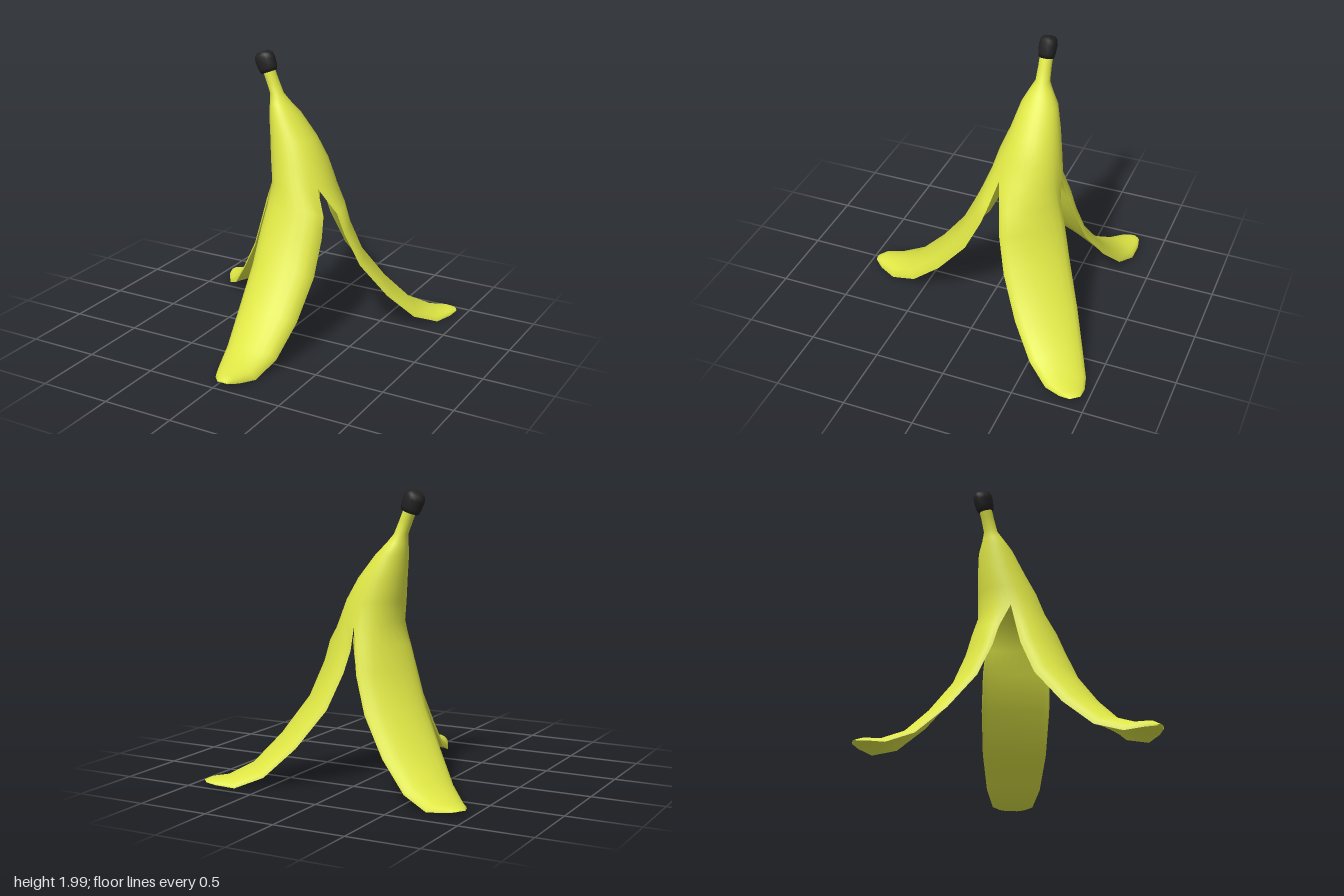
import * as THREE from 'three';
import { mergeVertices } from 'three/addons/utils/BufferGeometryUtils.js';

const SEG = 10;
const V = (x, y, z) => new THREE.Vector3(x, y, z);

// Neck and shoulders: [y, centre x, centre z, radius x, radius z]
const RINGS = [
  [1.87, -0.295, -0.24, 0.046, 0.046],
  [1.79, -0.262, -0.24, 0.046, 0.046],
  [1.7, -0.225, -0.24, 0.048, 0.05],
  [1.64, -0.198, -0.24, 0.07, 0.082],
  [1.56, -0.16, -0.245, 0.108, 0.128],
  [1.4, -0.09, -0.245, 0.165, 0.172],
  [1.25, -0.035, -0.233, 0.2, 0.216],
  [1.1, 0.005, -0.225, 0.218, 0.25],
];

// Peel strip, along its outer ridge: [distance out, y, half width, depth, flattening]
const STRIP = [
  [0.3, 0.97, 0.222, 0.12, 0.4],
  [0.36, 0.83, 0.238, 0.13, 0.8],
  [0.47, 0.6, 0.242, 0.13, 1],
  [0.66, 0.35, 0.228, 0.115, 1],
  [0.85, 0.16, 0.193, 0.1, 1],
  [1.01, 0.092, 0.147, 0.09, 1],
  [1.12, 0.08, 0.092, 0.064, 1],
  [1.175, 0.045, 0.04, 0.02, 1],
];

// Three strips: arc of the body they continue, direction, sideways shift, reach, flatness
const PEELS = [
  { name: 'frontPeel', arc: [33, 147], dir: [0, 1], shift: -0.04, reach: 1.01, flat: 0 },
  { name: 'rightPeel', arc: [147, 270], dir: [-0.865, -0.5], shift: 0.02, reach: 0.925, flat: 0.38 },
  { name: 'leftPeel', arc: [-90, 33], dir: [0.77, -0.638], shift: 0.05, reach: 0.98, flat: 0.38 },
];

// One row of points across a strip where it is still part of the body
function bodyRow([y, cx, cz, rx, rz], [from, to]) {
  return Array.from({ length: SEG + 1 }, (_, i) => {
    const a = THREE.MathUtils.degToRad(from + (to - from) * i / SEG);
    return V(cx + rx * Math.cos(a), y, cz + rz * Math.sin(a));
  });
}

// One row of points across a free, hanging strip
function stripRow(k, { dir, shift, reach, flat }) {
  const [d, y, w, depth, flattening] = STRIP[k];
  const prev = STRIP[k - 1] || [0.25, 1.1];
  const next = STRIP[k + 1] || STRIP[k];
  const td = next[0] - prev[0], ty = next[1] - prev[1], len = Math.hypot(td, ty);
  return Array.from({ length: SEG + 1 }, (_, i) => {
    const a = Math.PI * (i / SEG - 0.5);
    const inward = depth * (1 - (1 - flat * flattening) * Math.cos(a));
    const out = d * reach + ty / len * inward;
    const side = shift + w * Math.sin(a);
    return V(dir[0] * out - dir[1] * side, y - td / len * inward, -0.23 + dir[1] * out + dir[0] * side);
  });
}

// Inside of a row: nearly flat, with a narrow rim along both edges
function innerRow(row) {
  const a = row[0], b = row[SEG];
  const mid = a.clone().lerp(b, 0.5);
  const inside = row.map((p, i) => {
    const chord = a.clone().lerp(b, 0.5 + 0.5 * Math.sin(Math.PI * (i / SEG - 0.5)));
    const bulge = p.clone().sub(chord).multiplyScalar(0.13);
    return mid.clone().lerp(chord, 0.95).add(bulge);
  });
  return [a, ...inside, b];
}

// Joins rows of points into one smooth skin; several grids share their seams
function skin(grids, flip) {
  const pos = [], index = [];
  for (const rows of grids) {
    const start = pos.length / 3, n = rows[0].length;
    rows.flat().forEach(p => pos.push(p.x, p.y, p.z));
    for (let r = 0; r < rows.length - 1; r++) {
      for (let c = 0; c < n - 1; c++) {
        const a = start + r * n + c, b = a + 1, e = a + n, f = e + 1;
        index.push(...(flip ? [a, e, b, b, e, f] : [a, b, e, b, f, e]));
      }
    }
  }
  let geo = new THREE.BufferGeometry();
  geo.setAttribute('position', new THREE.Float32BufferAttribute(pos, 3));
  geo.setIndex(index);
  geo = mergeVertices(geo, 1e-4);
  geo.computeVertexNormals();
  return geo;
}

export function createModel() {
  const group = new THREE.Group();
  const yellow = new THREE.MeshStandardMaterial({ color: 0xdee645, side: THREE.DoubleSide });
  const black = new THREE.MeshStandardMaterial({ color: 0x222222 });
  const add = (name, geo, mat) => {
    const mesh = new THREE.Mesh(geo, mat);
    mesh.name = name;
    group.add(mesh);
    return mesh;
  };

  // Outer skin from the neck down to the three tips
  const strips = PEELS.map(p => STRIP.map((_, k) => stripRow(k, p)));
  add('outerSkin', skin(PEELS.map((p, i) => [...RINGS.map(r => bodyRow(r, p.arc)), ...strips[i]])), yellow);

  // Inside of each strip, closing under the shoulders
  PEELS.forEach((p, i) => {
    const top = Array(SEG + 3).fill(V(-0.01, 1.15, -0.23));
    const rows = [bodyRow(RINGS[RINGS.length - 1], p.arc), ...strips[i]].map(innerRow);
    add(p.name + 'Inside', skin([[top, ...rows]], true), yellow);
  });

  // Dark end of the stem
  const profile = [[0, 0], [0.052, 0], [0.06, 0.03], [0.064, 0.09], [0.058, 0.125], [0.04, 0.145], [0, 0.15]];
  const knob = add('stemTip', new THREE.LatheGeometry(profile.map(p => new THREE.Vector2(...p)), 10), black);
  knob.position.set(-0.287, 1.845, -0.24);
  knob.rotation.z = 0.36;
  knob.scale.x = 1.2;

  return group;
}
